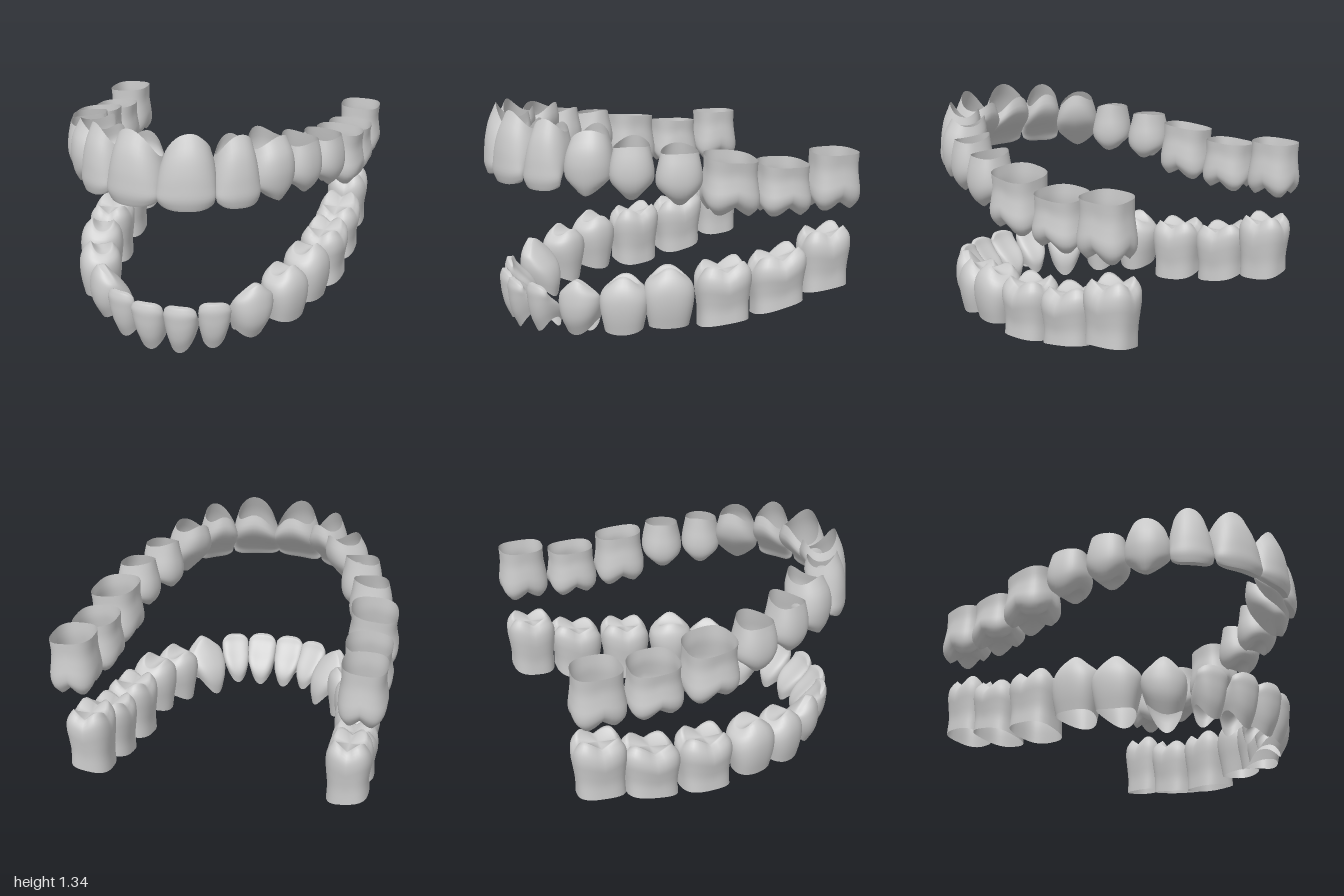
import * as THREE from 'three';

const SEG = 40, RINGS = 16;
const CAP = [0.88, 0.72, 0.54, 0.36, 0.18];

// Crown profiles from the gum rim to the biting edge, in even steps.
// Each row: half width, outer face, inner face (as fractions of width / depth).
const KINDS = {
  incisor: {
    n: 2.4, taper: 0.12, amp: 0.03, bow: 0.13,
    rows: [[0.78, 0.2, -0.5], [0.92, 0.37, -0.54], [0.99, 0.45, -0.36], [1, 0.48, -0.06], [1, 0.49, 0.16], [0.93, 0.43, 0.28]],
    cusp: (p) => -Math.pow(p, 4),
  },
  canine: {
    n: 2.3, taper: 0.14, amp: 0.06, bow: 0.12,
    rows: [[0.78, 0.24, -0.5], [0.92, 0.42, -0.54], [1, 0.48, -0.46], [1, 0.47, -0.26], [0.92, 0.42, -0.04], [0.66, 0.32, 0.14]],
    cusp: (p) => -Math.pow(Math.abs(p), 1.5),
  },
  premolar: {
    n: 2.3, taper: 0.22, amp: 0.06, bow: 0,
    rows: [[0.8, 0.4, -0.42], [0.9, 0.47, -0.46], [0.98, 0.5, -0.5], [1, 0.48, -0.5], [0.9, 0.39, -0.44], [0.6, 0.22, -0.29]],
    cusp: (p, q) => q * q * (q > 0 ? 1 : 0.7) * (1 - 0.6 * p * p) - 1,
  },
  molar: {
    n: 2.8, taper: 0.06, amp: 0.05, bow: 0,
    rows: [[0.91, 0.46, -0.46], [0.9, 0.44, -0.45], [0.95, 0.47, -0.48], [1, 0.5, -0.5], [0.96, 0.46, -0.47], [0.74, 0.33, -0.35]],
    cusp: (p, q) => Math.min(1, Math.abs(p * q) / 0.6) - 1,
  },
};

// name, kind, x, z, outward yaw, width, depth, gum y, edge y,
// extra inner rim length, rim scallop, rise towards the back
const UPPER = [
  ['centralIncisor', 'incisor', 0.14, 0.86, 12, 0.33, 0.28, 1.35, 0.93, -0.06, 0.1, 0],
  ['lateralIncisor', 'incisor', 0.38, 0.75, 36, 0.26, 0.25, 1.33, 0.93, -0.04, 0.08, 0],
  ['canine', 'canine', 0.53, 0.555, 55, 0.28, 0.27, 1.28, 0.91, 0.01, 0.06, 0],
  ['firstPremolar', 'premolar', 0.65, 0.345, 65, 0.26, 0.25, 1.2, 0.89, 0.03, 0.02, 0],
  ['secondPremolar', 'premolar', 0.74, 0.1, 75, 0.27, 0.26, 1.16, 0.86, 0.025, 0.01, 0],
  ['firstMolar', 'molar', 0.795, -0.19, 84, 0.33, 0.3, 1.1, 0.79, 0.03, 0, -0.08],
  ['secondMolar', 'molar', 0.805, -0.52, 89, 0.32, 0.29, 1.05, 0.76, 0.02, 0, -0.03],
  ['thirdMolar', 'molar', 0.82, -0.845, 90, 0.31, 0.27, 1.1, 0.77, 0.01, 0, 0],
];
const LOWER = [
  ['centralIncisor', 'incisor', 0.097, 0.825, 3, 0.2, 0.22, 0.005, 0.315, 0, 0.08, 0],
  ['lateralIncisor', 'incisor', 0.27, 0.76, 18, 0.19, 0.2, 0.03, 0.33, 0, 0.07, 0],
  ['canine', 'canine', 0.44, 0.585, 46, 0.26, 0.25, 0.05, 0.39, 0.035, 0.08, 0],
  ['firstPremolar', 'premolar', 0.59, 0.37, 62, 0.29, 0.26, 0.09, 0.43, 0.035, 0.03, 0],
  ['secondPremolar', 'premolar', 0.675, 0.13, 73, 0.3, 0.27, 0.13, 0.48, 0.035, 0.01, 0],
  ['firstMolar', 'molar', 0.725, -0.19, 83, 0.33, 0.28, 0.14, 0.485, 0.05, 0, 0.1],
  ['secondMolar', 'molar', 0.75, -0.53, 88, 0.34, 0.28, 0.2, 0.525, 0.05, 0, 0.2],
  ['thirdMolar', 'molar', 0.76, -0.835, 90, 0.31, 0.26, 0.28, 0.64, 0.045, 0, 0.1],
];

const spow = (v, e) => Math.sign(v) * Math.pow(Math.abs(v), e);

// Hollow crown: a lofted wall open at the gum, closed by a cusped cap
function toothGeometry([, kind, x, z, yaw, w, d, gum, edge, inner, scallop, slope], side) {
  const { n, taper, amp, bow, rows, cusp } = KINDS[kind];
  const curve = new THREE.CatmullRomCurve3(rows.map((r) => new THREE.Vector3(...r)), false, 'catmullrom');
  const a = THREE.MathUtils.degToRad(yaw), sin = Math.sin(a), cos = Math.cos(a);
  const gumward = Math.sign(gum - edge);
  const pos = [], idx = [];

  const addPoint = (t, s, theta) => {
    const p = spow(Math.cos(theta), 2 / n), q = spow(Math.sin(theta), 2 / n);
    const row = curve.getPoint(t);
    const u = p * s * row.x * w / 2 * (1 + taper * (1 - t) * (q - 0.3));
    const v = d * ((row.y + row.z) / 2 + q * s * (row.y - row.z) / 2) - bow * w * t * (p * s) ** 2;
    const rim = gum + gumward * (inner * (1 - q) / 2 - scallop * (p - 0.15 * gumward) ** 2);
    const top = edge - gumward * amp * cusp(p * s, q * s);
    const y = THREE.MathUtils.lerp(rim, top, t * (1.35 - 0.35 * t));
    const dz = -u * sin + v * cos;
    pos.push(side * (x + u * cos + v * sin), y - slope * dz, z + dz);
  };

  const loops = [];
  for (let j = 0; j <= RINGS; j++) loops.push([j / RINGS, 1]);
  for (const s of CAP) loops.push([1, s]);
  for (const [t, s] of loops) {
    for (let i = 0; i < SEG; i++) addPoint(t, s, (i / SEG) * Math.PI * 2);
  }
  addPoint(1, 0, 0);

  const flip = (gumward > 0) !== (side < 0);
  const tri = (p, q, r) => (flip ? idx.push(p, r, q) : idx.push(p, q, r));
  const last = loops.length - 1, centre = loops.length * SEG;
  for (let i = 0; i < SEG; i++) {
    const k = (i + 1) % SEG;
    for (let j = 0; j < last; j++) {
      const A = j * SEG + i, B = j * SEG + k;
      tri(A, A + SEG, B);
      tri(B, A + SEG, B + SEG);
    }
    tri(last * SEG + i, centre, last * SEG + k);
  }
  const geo = new THREE.BufferGeometry();
  geo.setAttribute('position', new THREE.Float32BufferAttribute(pos, 3));
  geo.setIndex(idx);
  geo.computeVertexNormals();
  return geo;
}

export function createModel() {
  const model = new THREE.Group();
  model.name = 'teeth';
  const material = new THREE.MeshStandardMaterial({ color: 0xcccccc, side: THREE.DoubleSide });
  for (const [archName, teeth] of [['upperArch', UPPER], ['lowerArch', LOWER]]) {
    const arch = new THREE.Group();
    arch.name = archName;
    for (const spec of teeth) {
      for (const side of [1, -1]) {
        const tooth = new THREE.Mesh(toothGeometry(spec, side), material);
        tooth.name = spec[0] + (side > 0 ? 'Left' : 'Right');
        arch.add(tooth);
      }
    }
    model.add(arch);
  }
  return model;
}
